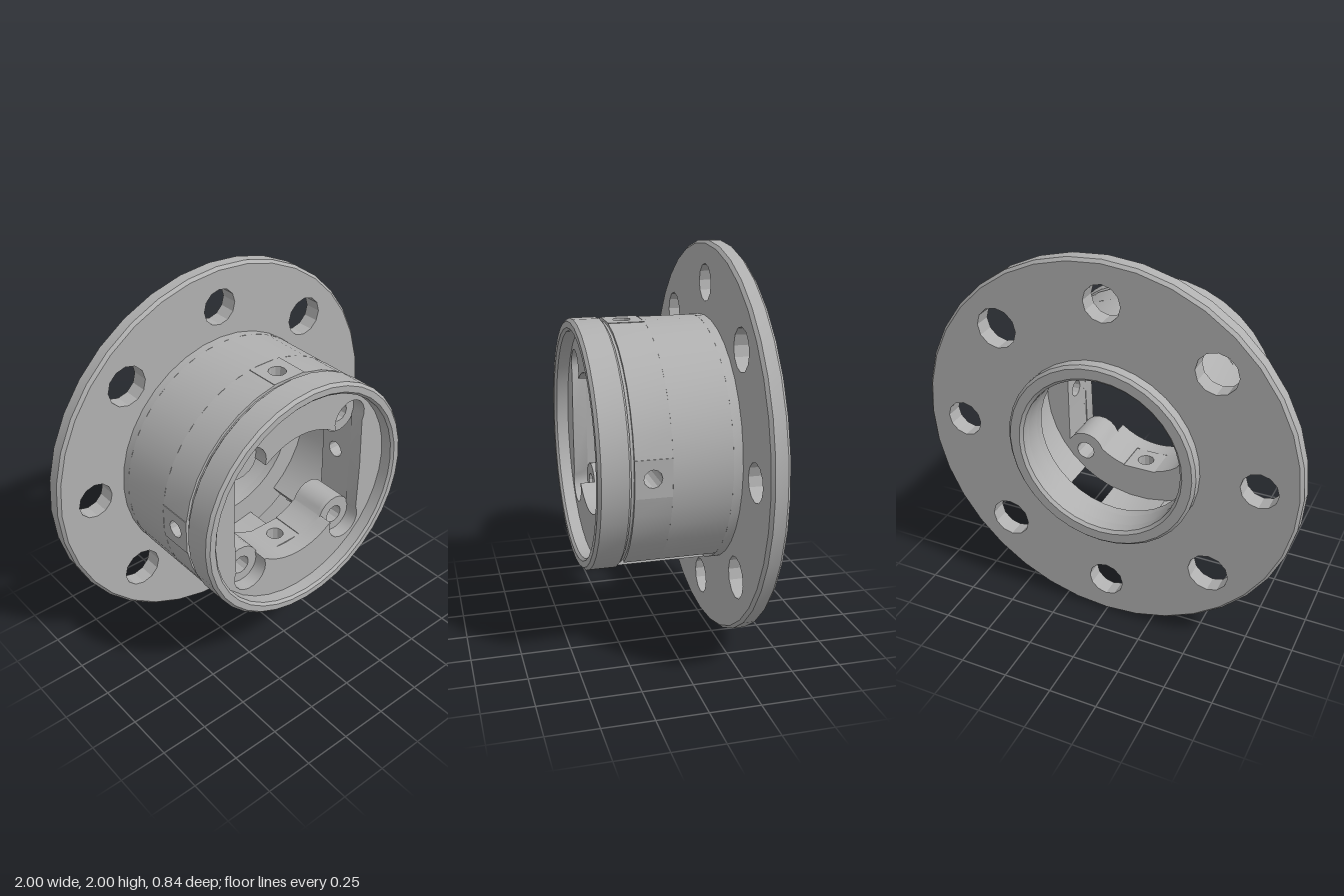
import * as THREE from 'three';
import { toCreasedNormals } from 'three/addons/utils/BufferGeometryUtils.js';

const SEG = 36;
const DEG = Math.PI / 180;
const V = (x, y) => new THREE.Vector2(x, y);

// Points along an arc, angles in degrees
function arc(cx, cy, r, a0, a1, n) {
  const pts = [];
  for (let i = 0; i <= n; i++) {
    const a = (a0 + (a1 - a0) * i / n) * DEG;
    pts.push(V(cx + r * Math.cos(a), cy + r * Math.sin(a)));
  }
  return pts;
}
const circle = (cx, cy, r, n) => arc(cx, cy, r, 0, 360 - 360 / n, n - 1);

export function createModel() {
  const model = new THREE.Group();
  const hub = new THREE.Group();
  hub.name = 'flangedHub';
  hub.position.y = 1;
  model.add(hub);

  const steel = new THREE.MeshStandardMaterial({ color: 0xb0b0b0 });
  steel.name = 'grey steel';

  function add(name, geometry) {
    const mesh = new THREE.Mesh(toCreasedNormals(geometry, 0.4), steel);
    mesh.name = name;
    hub.add(mesh);
    return mesh;
  }

  // Plate cut from an outline, reaching from z0 to z1
  function plate(name, outline, holes, z0, z1) {
    const shape = new THREE.Shape(outline);
    holes.forEach(h => shape.holes.push(new THREE.Path(h)));
    const g = new THREE.ExtrudeGeometry(shape, { depth: z1 - z0, bevelEnabled: false });
    return add(name, g.translate(0, 0, z0));
  }

  // Closed ring profile [radius, z], turned about the z axis
  function ring(name, profile) {
    const pts = [...profile, profile[0]].map(p => V(p[0], p[1]));
    const g = new THREE.LatheGeometry(pts, SEG);
    return add(name, g.rotateX(Math.PI / 2));
  }

  // Curved wall piece between two angles
  function wall(name, a0, a1, z0, z1) {
    const n = Math.max(1, Math.round((a1 - a0) / 10));
    plate(name, [...arc(0, 0, 0.63, a0, a1, n), ...arc(0, 0, 0.54, a1, a0, n)], [], z0, z1);
  }

  // Flange disc with eight bolt holes, and its chamfered rim
  const boltHoles = [];
  for (let i = 0; i < 8; i++) {
    const a = i * 45 * DEG;
    boltHoles.push(circle(0.793 * Math.cos(a), 0.793 * Math.sin(a), i % 2 ? 0.105 : 0.094, 12));
  }
  plate('flange', circle(0, 0, 0.981, SEG), [circle(0, 0, 0.42, SEG), ...boltHoles], -0.355, -0.265);
  ring('flangeRim', [[0.975, -0.355], [0.985, -0.355], [1, -0.34], [1, -0.28], [0.985, -0.265], [0.975, -0.265]]);

  // Pilot lip behind the flange
  ring('pilotLip', [[0.435, -0.42], [0.485, -0.42], [0.5, -0.405], [0.5, -0.35], [0.42, -0.35], [0.42, -0.405]]);

  // Barrel: solid foot, then wall pieces that leave two lower windows
  ring('barrelFoot', [[0.42, -0.27], [0.63, -0.27], [0.63, -0.22], [0.42, -0.22]]);
  wall('barrelWall', -53, 233, -0.22, 0.07);
  wall('lowerStrip', 253.5, 286.5, -0.22, 0.07);
  [[8, 82], [98, 172], [188, 233], [253.5, 262], [278, 286.5], [307, 352]]
    .forEach(([a0, a1]) => wall('barrelWall', a0, a1, 0.07, 0.25));

  // Front head with groove, chamfers and shallow recess
  ring('headRing', [
    [0.54, 0.25], [0.616, 0.25], [0.616, 0.265], [0.625, 0.265], [0.635, 0.275],
    [0.635, 0.405], [0.62, 0.42], [0.588, 0.42], [0.575, 0.407], [0.575, 0.25],
  ]);

  // One quarter of the web opening: side flat, screw boss, upper arc
  function openingQuarter(pocket) {
    const boss = pocket ? arc(0.32, 0.32, 0.1, -28, 199, 12) : arc(0.32, 0.32, 0.107, -28, -161, 7);
    return [V(0.415, 0), ...boss, ...arc(0, 0, 0.36, 53, 90, 5)];
  }
  const mirrored = (pts, sx, sy) => pts.map(p => V(p.x * sx, p.y * sy));
  const corners = [[1, 1], [-1, 1], [-1, -1], [1, -1]];
  function fullOpening(pocket) {
    const out = [];
    for (const [sx, sy] of corners) {
      const q = mirrored(openingQuarter(pocket), sx, sy);
      if (sx * sy < 0) q.reverse();
      out.push(...q.slice(0, -1));
      if (sx * sy < 0) out.push(q[q.length - 1]);
    }
    // Drop the doubled points where quarters meet
    return out.filter((p, i) => p.distanceTo(out[(i + 1) % out.length]) > 1e-4);
  }
  const screwHole = circle(0.32, 0.32, 0.05, 12);

  // Web: pocketed front layer, boss layer, four rear corners
  plate('webFront', circle(0, 0, 0.58, SEG), [fullOpening(true)], 0.27, 0.345);
  plate('webBossLayer', circle(0, 0, 0.58, SEG),
    [fullOpening(false), ...corners.map(([sx, sy]) => mirrored(screwHole, sx, sy))], 0.25, 0.27);
  const quarter = openingQuarter(false).filter(p => p.x >= 0.09 && p.y >= 0.09);
  const cornerOutline = [
    V(0.415, 0.09), ...quarter, V(0.09, 0.3486), ...arc(0, 0, 0.545, 80.5, 9.5, 8),
  ];
  for (const [sx, sy] of corners) {
    plate('webCorner', mirrored(cornerOutline, sx, sy), [mirrored(screwHole, sx, sy)], 0.07, 0.25);
  }

  // Flat-faced blocks carrying the four radial pin holes
  for (let i = 0; i < 4; i++) {
    const a = i * 90 * DEG;
    const inner = i % 2 ? 0.353 : 0.415;
    const shape = new THREE.Shape([V(-0.092, 0.07), V(0.092, 0.07), V(0.092, 0.25), V(-0.092, 0.25)]);
    shape.holes.push(new THREE.Path(circle(0, 0.163, 0.044, 12)));
    const g = new THREE.ExtrudeGeometry(shape, { depth: 0.626 - inner, bevelEnabled: false });
    g.translate(0, 0, inner);
    g.applyMatrix4(new THREE.Matrix4().makeBasis(
      new THREE.Vector3(-Math.sin(a), Math.cos(a), 0),
      new THREE.Vector3(0, 0, 1),
      new THREE.Vector3(Math.cos(a), Math.sin(a), 0)));
    add('pinHoleBlock', g);
  }

  return model;
}
